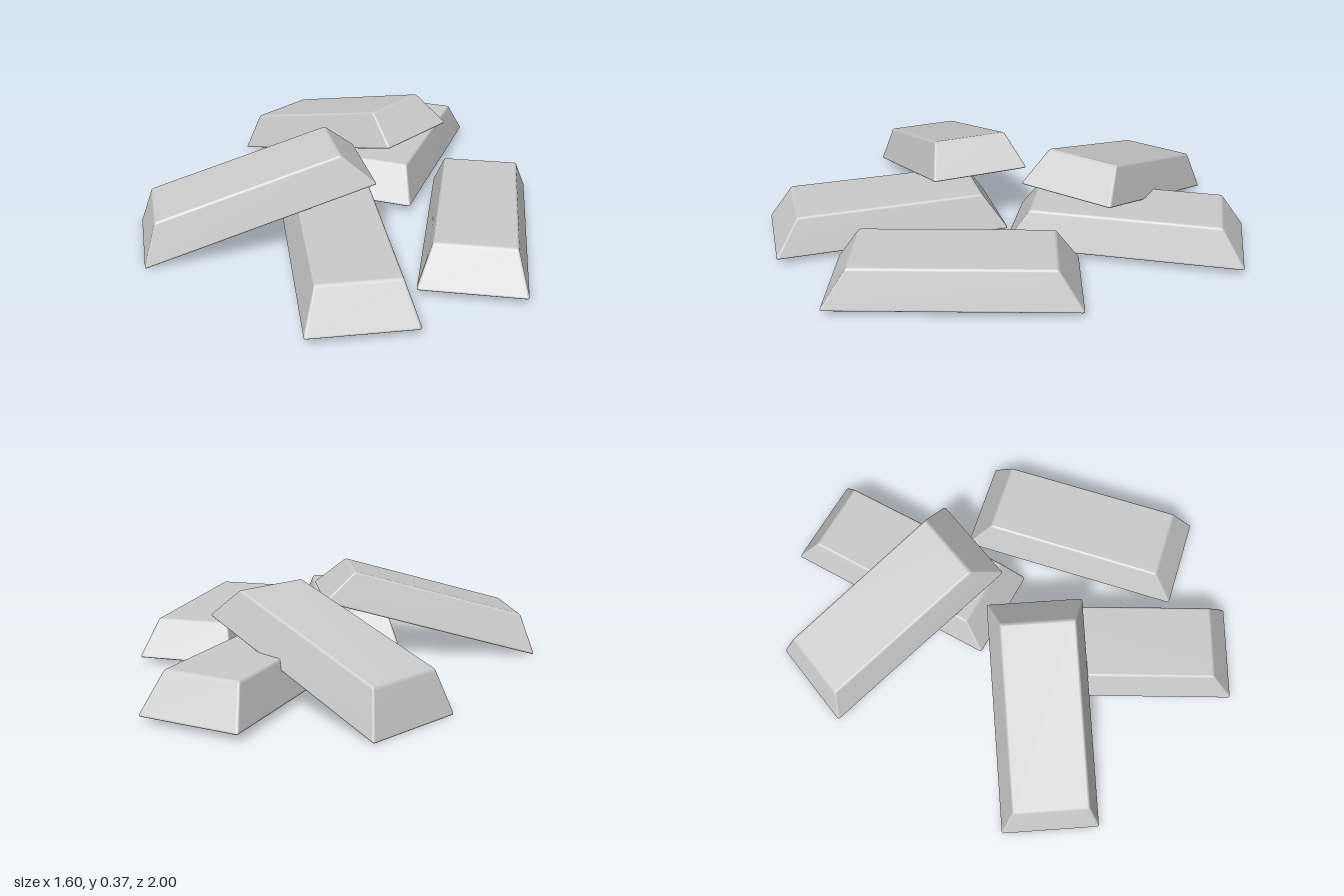
import * as THREE from 'three';
import { RoundedBoxGeometry } from 'three/addons/geometries/RoundedBoxGeometry.js';
import { mergeVertices } from 'three/addons/utils/BufferGeometryUtils.js';

const WIDTH = 0.405, HEIGHT = 0.15, LENGTH = 0.95;

// Ingot: softly rounded block, standing on y = 0, tapering towards the top
function ingotGeometry() {
  const box = new RoundedBoxGeometry(WIDTH, HEIGHT, LENGTH, 3, 0.01);
  box.deleteAttribute('normal');
  box.deleteAttribute('uv');
  const geo = mergeVertices(box, 1e-5);
  const pos = geo.attributes.position;
  for (let i = 0; i < pos.count; i++) {
    const t = pos.getY(i) / HEIGHT + 0.5;
    pos.setXYZ(
      i,
      pos.getX(i) * (1 - t * 0.1 / WIDTH),
      t * HEIGHT,
      pos.getZ(i) * (1 - t * 0.2 / LENGTH)
    );
  }
  geo.computeVertexNormals();
  return geo;
}

export function createModel() {
  const group = new THREE.Group();
  group.name = 'ingotPile';
  const geometry = ingotGeometry();
  const material = new THREE.MeshStandardMaterial({ color: 0xcccccc });

  // name, centre of the underside, heading, upward pitch
  const ingots = [
    ['leftIngot', [0.57, 0.03, 0.14], 0.06, 0],
    ['backIngot', [0.14, 0.03, -0.51], -0.13, 0],
    ['frontIngot', [0.1, 0.03, 0.488], 0.36, 0],
    ['leaningFrontIngot', [-0.31, 0.133, 0.283], 2.015, 0.278],
    ['leaningBackIngot', [-0.123, 0.133, -0.478], 1.055, 0.278],
  ];
  for (const [name, position, heading, pitch] of ingots) {
    const mesh = new THREE.Mesh(geometry, material);
    mesh.name = name;
    mesh.position.set(...position);
    mesh.rotation.set(-pitch, heading, 0, 'YXZ');
    group.add(mesh);
  }
  return group;
}
